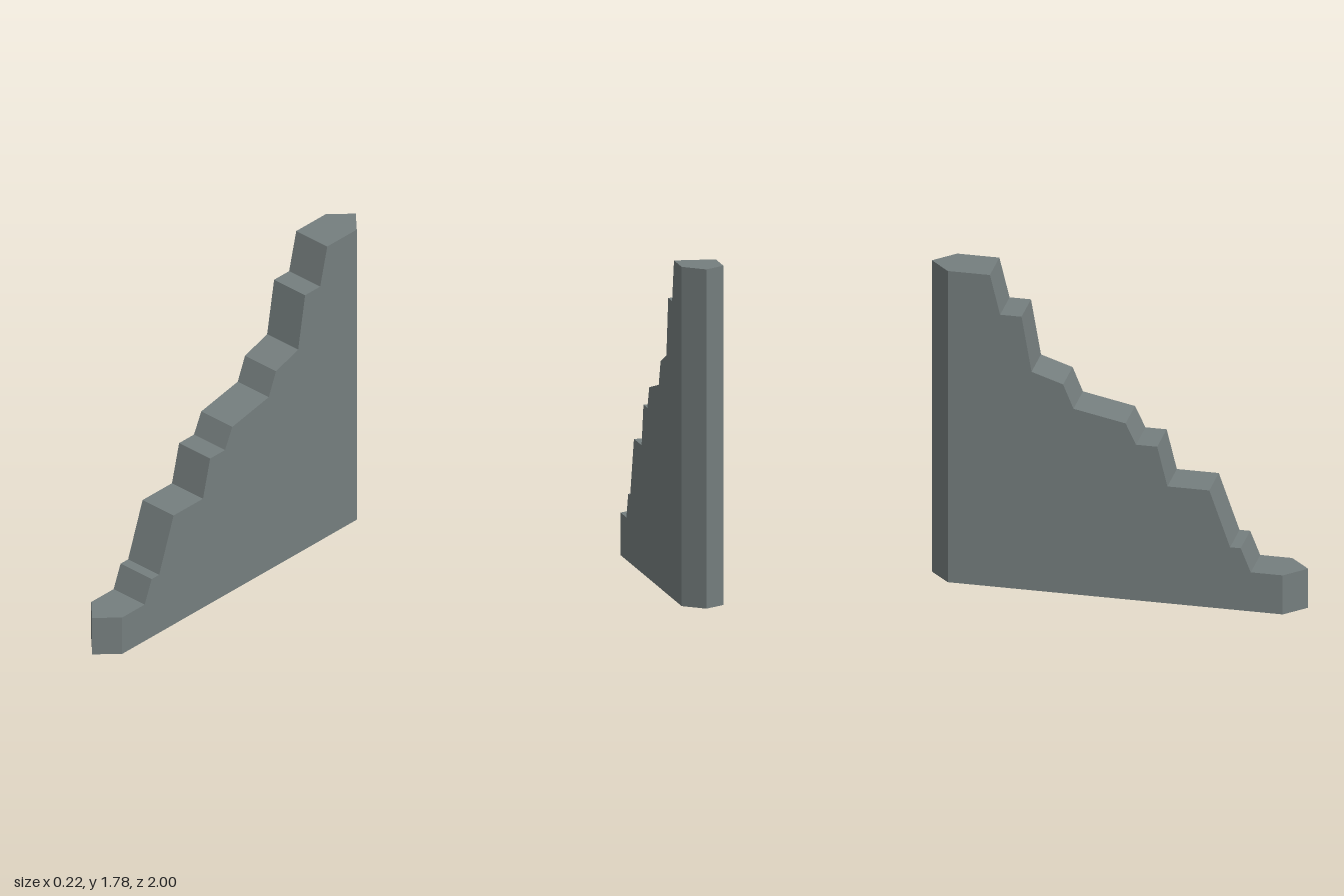
import * as THREE from 'three';

const HALF_WIDTH = 0.11;
const SHOULDER = 0.89; // where the pointed ends begin

// Side outline as [z, y], from the low front tip up the steps to the tall back
const OUTLINE = [
  [1, 0], [1, 0.223], [0.72, 0.223], [0.667, 0.355], [0.61, 0.355],
  [0.5, 0.668], [0.277, 0.668], [0.223, 0.889], [0.11, 0.889],
  [0.055, 1.005], [-0.222, 1.06], [-0.277, 1.193], [-0.445, 1.248],
  [-0.498, 1.557], [-0.612, 1.557], [-0.666, 1.778], [-1, 1.778], [-1, 0],
];

export function createModel() {
  const group = new THREE.Group();
  group.name = 'steppedWall';

  const stone = new THREE.MeshStandardMaterial({ color: 0x757e7e });
  stone.name = 'stone grey';

  // Two steps across the width give a centre line for the pointed ends
  const shape = new THREE.Shape(OUTLINE.map(([z, y]) => new THREE.Vector2(z, y)));
  const geometry = new THREE.ExtrudeGeometry(shape, {
    depth: HALF_WIDTH * 2, steps: 2, bevelEnabled: false,
  });
  geometry.rotateY(-Math.PI / 2);
  geometry.translate(HALF_WIDTH, 0, 0);

  // Pull the outer end corners back so each end becomes a wedge
  const pos = geometry.attributes.position;
  for (let i = 0; i < pos.count; i++) {
    const z = pos.getZ(i);
    if (Math.abs(z) > 0.99 && Math.abs(pos.getX(i)) > 0.01) {
      pos.setZ(i, Math.sign(z) * SHOULDER);
    }
  }
  geometry.computeVertexNormals();

  const wall = new THREE.Mesh(geometry, stone);
  wall.name = 'wall';
  group.add(wall);
  return group;
}
